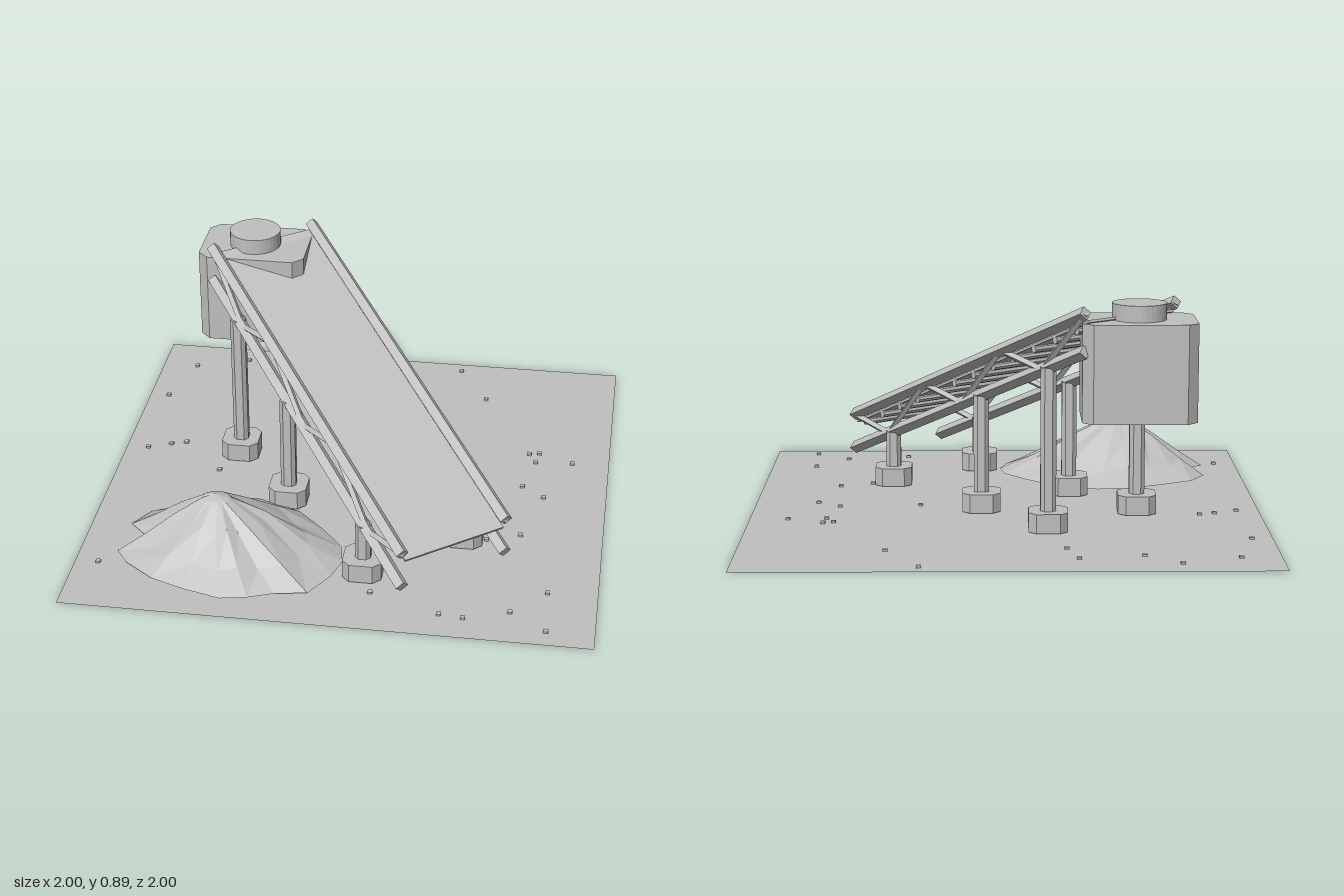
import * as THREE from 'three';

const V = (x, y, z) => new THREE.Vector3(x, y, z);

export function createModel() {
  const model = new THREE.Group();
  model.name = 'conveyorSite';
  const grey = new THREE.MeshStandardMaterial({ color: 0xc0c0c0, flatShading: true, side: THREE.DoubleSide });
  grey.name = 'plain grey';

  const add = (name, geo, parent = model) => {
    const m = new THREE.Mesh(geo, grey);
    m.name = name;
    parent.add(m);
    return m;
  };
  const group = (name) => {
    const g = new THREE.Group();
    g.name = name;
    model.add(g);
    return g;
  };

  // Place a geometry whose long axis is y between two points, x kept level
  const span = (name, geo, a, b, parent) => {
    const y = b.clone().sub(a).normalize();
    const x = V(0, 1, 0).cross(y).normalize();
    const z = x.clone().cross(y);
    const m = add(name, geo, parent);
    m.quaternion.setFromRotationMatrix(new THREE.Matrix4().makeBasis(x, y, z));
    m.position.copy(a).add(b).multiplyScalar(0.5);
    return m;
  };
  const bar = (name, a, b, r, sides, parent) =>
    span(name, new THREE.CylinderGeometry(r, r, a.distanceTo(b), sides), a, b, parent);

  // Upright block with chamfered corners
  const block = (name, x, z, w, d, c, y0, y1, parent) => {
    const p = w / 2, q = d / 2;
    const s = new THREE.Shape([
      [-p + c, -q], [p - c, -q], [p, -q + c], [p, q - c],
      [p - c, q], [-p + c, q], [-p, q - c], [-p, -q + c],
    ].map(([u, v]) => new THREE.Vector2(u, v)));
    const g = new THREE.ExtrudeGeometry(s, { depth: y1 - y0, bevelEnabled: false });
    g.rotateX(-Math.PI / 2);
    add(name, g, parent).position.set(x, y0, z);
  };

  // Ground
  add('ground', new THREE.PlaneGeometry(2, 2).rotateX(-Math.PI / 2));

  // Pebbles scattered over the ground
  const pebbles = group('pebbles');
  [[-.85, -.82], [-.63, -.9], [-.5, -.79], [-.26, -.83], [-.22, -.69], [.32, -.94], [.45, -.71],
    [-.92, -.55], [-.91, -.12], [-.82, -.16], [-.76, -.18], [-.58, .01], [.67, -.29], [.71, -.3],
    [.7, -.23], [.85, -.24], [.66, -.04], [.75, .03], [.34, -.02], [.55, .36], [.68, .31],
    [-.91, .72], [.81, .68], [.68, .82], [.51, .88], [.42, .87], [.15, .77], [.82, .92],
  ].forEach(([x, z]) => add('pebble', new THREE.BoxGeometry(0.018, 0.008, 0.018), pebbles).position.set(x, 0.004, z));

  // Conveyor frame: point at fraction t from the top end, on side -1 (near) or 1 (far)
  const frameAt = (t, side, y) => V(-0.465 + 0.925 * t + 0.178 * side, y - 0.61 * t, -0.44 + 1.165 * t - 0.14 * side);
  const TOP = 0.862, LOW = 0.718;
  for (const side of [-1, 1]) {
    const truss = group(side < 0 ? 'nearTruss' : 'farTruss');
    bar('upperRail', frameAt(1, side, TOP), frameAt(0, side, TOP), 0.026, 4, truss);
    bar('lowerRail', frameAt(1, side, LOW), frameAt(0, side, LOW), 0.026, 4, truss);
    // Zigzag lattice
    for (let i = 0; i < 6; i++) {
      const [y0, y1] = i % 2 ? [LOW, TOP] : [TOP, LOW];
      bar('lattice', frameAt(i / 6, side, y0), frameAt((i + 1) / 6, side, y1), 0.014, 4, truss);
    }
    // Posts on footings
    for (const t of [0.14, 0.415, 0.81]) {
      const p = frameAt(t, side, LOW);
      block('footing', p.x, p.z, 0.15, 0.15, 0.03, 0.005, 0.08, truss);
      block('post', p.x, p.z, 0.06, 0.06, 0.015, 0.08, p.y, truss);
    }
  }

  // Belt and the rollers under it
  const b0 = frameAt(1, 0, 0.83), b1 = frameAt(0, 0, 0.83);
  span('belt', new THREE.BoxGeometry(0.43, b0.distanceTo(b1), 0.01), b0, b1);
  const rollers = group('rollers');
  for (let i = 0; i < 12; i++) {
    const t = (i + 0.5) / 12;
    bar('roller', frameAt(t, -0.95, 0.812), frameAt(t, 0.95, 0.812), 0.014, 8, rollers);
  }

  // Drive housing with round cap
  block('housing', -0.493, -0.445, 0.43, 0.31, 0.04, 0.447, 0.82);
  add('housingCap', new THREE.CylinderGeometry(0.103, 0.103, 0.07, 32)).position.set(-0.495, 0.847, -0.443);

  // Heap: outline rings shrinking towards the peak
  const rim = [[-.84, .46], [-.78, .36], [-.65, .29], [-.52, .23], [-.38, .21], [-.2, .28], [-.08, .4],
    [0, .5], [.02, .6], [-.01, .7], [-.08, .82], [-.2, .84], [-.3, .88], [-.4, .9], [-.55, .86],
    [-.68, .81], [-.8, .72], [-.85, .65], [-.74, .56]];
  const n = rim.length, peak = V(-0.48, 0.25, 0.56);
  const levels = [[1, 0.01], [0.72, 0.07], [0.4, 0.16], [0.12, 0.235]];
  const pos = [], idx = [];
  levels.forEach(([k, y], j) => rim.forEach(([x, z], i) => {
    const wob = j === 1 || j === 2 ? 0.012 * Math.sin(i * 2.6 + j) : 0;
    pos.push(peak.x + (x - peak.x) * k, y + wob, peak.z + (z - peak.z) * k);
  }));
  pos.push(peak.x, peak.y, peak.z);
  for (let i = 0; i < n; i++) {
    const k = (i + 1) % n;
    for (let j = 0; j < levels.length - 1; j++) {
      const a = j * n + i, b = j * n + k;
      idx.push(a, a + n, b, b, a + n, b + n);
    }
    const a = (levels.length - 1) * n;
    idx.push(a + i, levels.length * n, a + k);
  }
  const heap = new THREE.BufferGeometry();
  heap.setAttribute('position', new THREE.Float32BufferAttribute(pos, 3));
  heap.setIndex(idx.reverse());
  heap.computeVertexNormals();
  // Outline runs clockwise from above, so check the faces point up
  if (heap.attributes.normal.getY(pos.length / 3 - 1) < 0) {
    heap.setIndex(idx.reverse());
    heap.computeVertexNormals();
  }
  add('heap', heap);

  return model;
}
